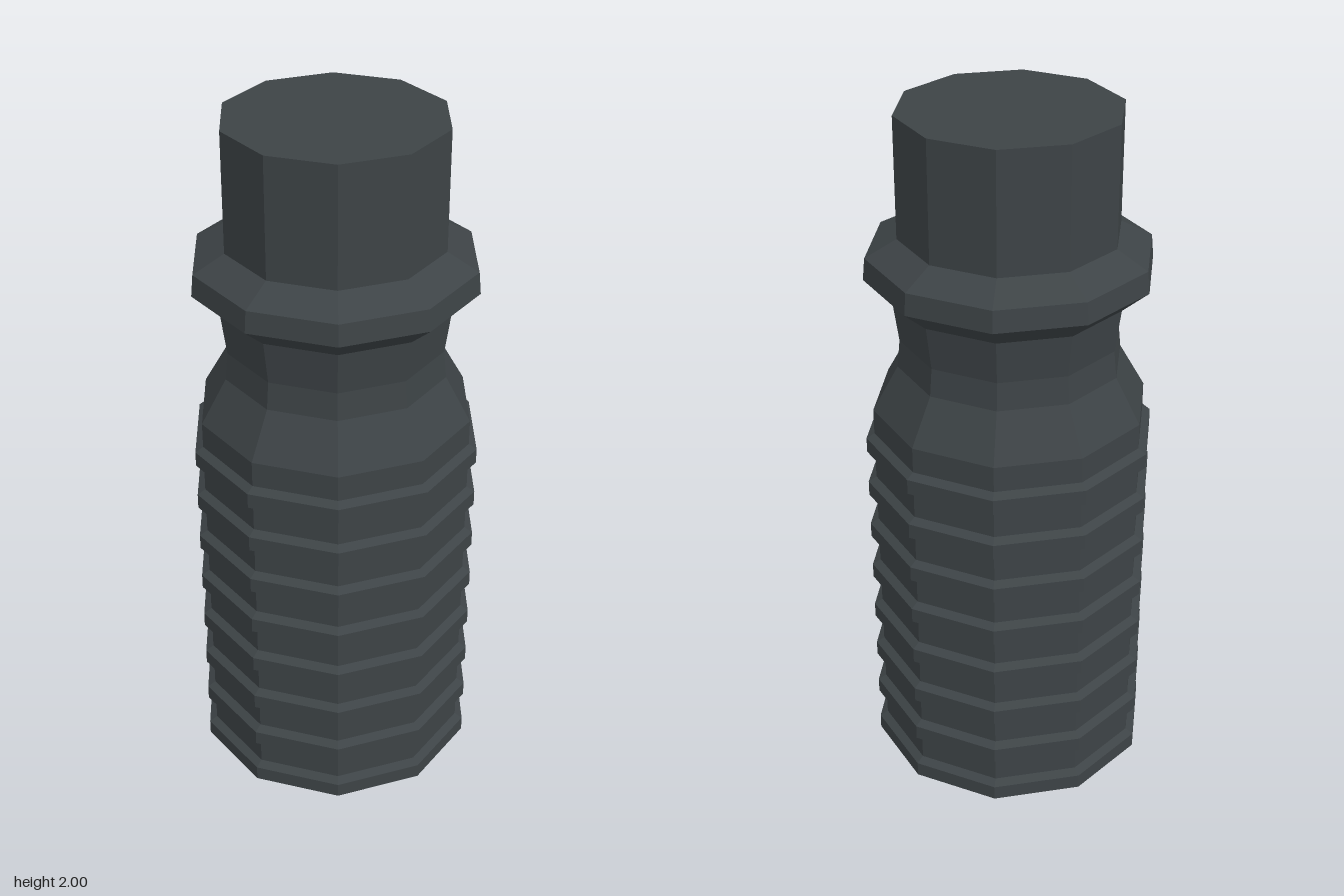
import * as THREE from 'three';

const SIDES = 10;
const material = new THREE.MeshStandardMaterial({ color: 0x3d4346, flatShading: true });

// Ten-sided turned part from [radius, y] pairs listed bottom to top, corners on the x axis
function turned(name, profile) {
  const points = profile.map(([r, y]) => new THREE.Vector2(r, y));
  const mesh = new THREE.Mesh(new THREE.LatheGeometry(points, SIDES, Math.PI / 2), material);
  mesh.name = name;
  return mesh;
}

export function createModel() {
  const group = new THREE.Group();
  group.name = 'ribbedHandle';

  // Grip with eight evenly spaced ribs and a closed base
  const grip = [[0, 0]];
  const pitch = 0.1436;
  for (let i = 0; i < 8; i++) {
    const y = i * pitch;
    grip.push([0.39, y], [0.413, y + 0.012], [0.413, y + 0.056], [0.39, y + 0.07]);
  }
  grip.push([0.39, 1.15]);
  group.add(turned('ribbedGrip', grip));

  // Shoulder narrowing into a waisted neck
  group.add(turned('neck', [[0.39, 1.15], [0.317, 1.28], [0.309, 1.36], [0.326, 1.485]]));

  // Flared collar
  group.add(turned('collar', [[0.326, 1.485], [0.401, 1.55], [0.395, 1.612], [0.307, 1.66]]));

  // Straight plug with a flat top
  group.add(turned('plug', [[0.307, 1.66], [0.307, 2], [0, 2]]));

  return group;
}
